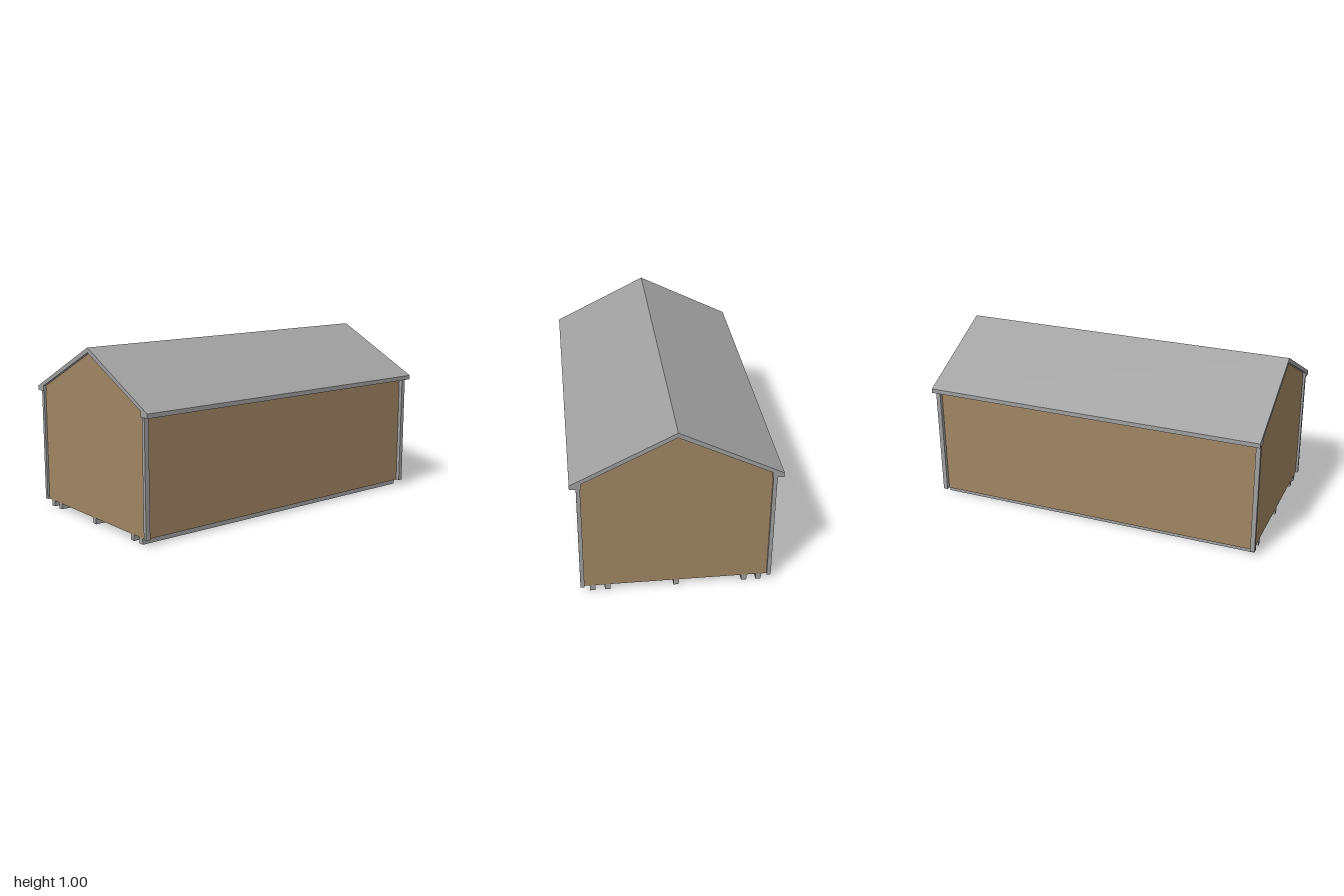
import * as THREE from 'three';

export function createModel() {
  const model = new THREE.Group();
  model.name = 'shed';
  const trim = new THREE.MeshStandardMaterial({ color: 0xa0a0a0 });
  trim.name = 'grey trim';
  const siding = new THREE.MeshStandardMaterial({ color: 0xa08664, side: THREE.DoubleSide });
  siding.name = 'tan siding';

  const add = (name, geometry, material) => {
    const mesh = new THREE.Mesh(geometry, material);
    mesh.name = name;
    model.add(mesh);
    return mesh;
  };
  const outline = (points) => new THREE.Shape(points.map(([x, y]) => new THREE.Vector2(x, y)));

  const floorY = 0.035, eaveY = 0.693, wallX = 0.508, wallZ = 0.982;

  // Roof: one folded slab with boxed eaves, running the full length
  const half = [[0.565, 0.718], [0.565, eaveY], [0.503, eaveY], [0.503, 0.724]];
  const roofOutline = outline([
    [0, 1], ...half, [0, 0.972],
    ...half.map(([x, y]) => [-x, y]).reverse(),
  ]);
  const roof = new THREE.ExtrudeGeometry(roofOutline, { depth: 2, bevelEnabled: false });
  roof.translate(0, 0, -1);
  add('roof', roof, trim);

  // Gable walls: thin sheets at both ends
  const gable = outline([[-wallX, floorY], [wallX, floorY], [wallX, 0.722], [0, 0.973], [-wallX, 0.722]]);
  for (const s of [1, -1]) {
    const geometry = new THREE.ShapeGeometry(gable);
    if (s < 0) geometry.rotateY(Math.PI);
    add(s > 0 ? 'frontWall' : 'backWall', geometry, siding).position.z = s * wallZ;
  }

  // Side walls and sloping ceiling sheets, open underneath
  for (const s of [1, -1]) {
    const side = s > 0 ? 'left' : 'right';
    const wall = new THREE.PlaneGeometry(wallZ * 2, 0.722 - floorY).rotateY(s * Math.PI / 2);
    add(side + 'Wall', wall, siding).position.set(s * wallX, (0.722 + floorY) / 2, 0);

    const rise = 0.97 - 0.722, run = 0.503;
    const ceiling = new THREE.PlaneGeometry(Math.hypot(run, rise), wallZ * 2).rotateX(Math.PI / 2);
    const panel = add(side + 'Ceiling', ceiling, siding);
    panel.position.set(s * run / 2, 0.722 + rise / 2, 0);
    panel.rotation.z = -s * Math.atan2(rise, run);
  }

  // Corner posts
  const post = new THREE.BoxGeometry(0.022, eaveY - floorY, 0.026);
  for (const x of [1, -1]) {
    for (const z of [1, -1]) {
      add('cornerPost', post, trim).position.set(x * 0.519, (eaveY + floorY) / 2, z * 0.982);
    }
  }

  // Floor skids
  const skid = new THREE.BoxGeometry(0.03, floorY, wallZ * 2);
  for (const x of [-0.463, -0.381, 0, 0.381, 0.463]) {
    add('skid', skid, trim).position.set(x, floorY / 2, 0);
  }
  return model;
}
